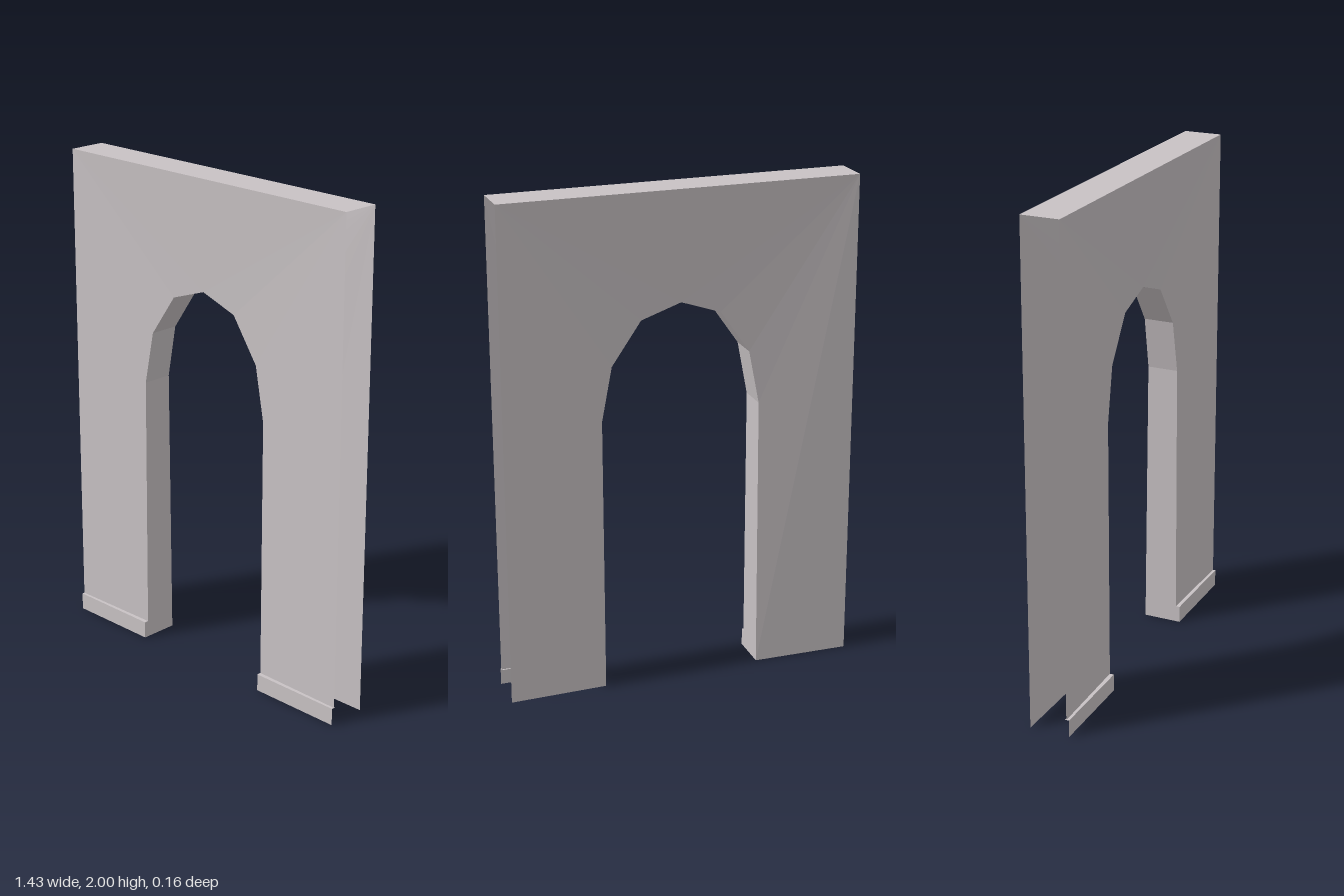
import * as THREE from 'three';

const W = 0.713, H = 2, BASE = 0.07;
const FRONT = 0.07, BACK = -0.083, BOARD = 0.081;

const wallPaint = new THREE.MeshStandardMaterial({ color: 0xc8c2c4, side: THREE.DoubleSide, flatShading: true });

const v = (x, y, z) => new THREE.Vector3(x, y, z);

function mesh(name, triangles) {
  const geometry = new THREE.BufferGeometry().setFromPoints(triangles);
  geometry.computeVertexNormals();
  const m = new THREE.Mesh(geometry, wallPaint);
  m.name = name;
  return m;
}

// Ribbon between two matching rows of points
function strip(a, b) {
  const out = [];
  for (let i = 0; i < a.length - 1; i++) out.push(a[i], b[i], a[i + 1], a[i + 1], b[i], b[i + 1]);
  return out;
}

function fan(apex, row) {
  const out = [];
  for (let i = 0; i < row.length - 1; i++) out.push(apex, row[i], row[i + 1]);
  return out;
}

// Arch outline: x, y, front z, back z; the skins bow inward slightly at the crown
const half = [
  [0.322, 0, 0.064, -0.076],
  [0.32, 1.12, 0.06, -0.066],
  [0.278, 1.335, 0.058, -0.064],
  [0.16, 1.505, 0.056, -0.063],
];
const arch = [
  ...half.map(([x, ...r]) => [-x, ...r]),
  [0, 1.56, 0.056, -0.063],
  ...[...half].reverse(),
];
const archFront = arch.map(([x, y, f]) => v(x, y, f));
const archBack = arch.map(([x, y, , b]) => v(x, y, b));

// Wall face, fanned from its two upper corners around the arch
function skin(name, row, z, footY, flip) {
  const pts = row.map((p) => v(p.x, Math.max(p.y, footY), p.z));
  const topL = v(-W, H, z), topR = v(W, H, z);
  const tris = [
    ...fan(topL, [v(-W, footY, z), ...pts.slice(0, 5)]),
    ...fan(topR, [topL, ...pts.slice(4), v(W, footY, z)]),
  ];
  return mesh(name, flip ? tris.reverse() : tris);
}

export function createModel() {
  const group = new THREE.Group();
  group.name = 'archedWall';

  group.add(skin('frontWall', archFront, FRONT, BASE, false));
  group.add(skin('backWall', archBack, BACK, 0, true));
  group.add(mesh('archReveal', strip(archFront, archBack)));
  group.add(mesh('wallTop', strip([v(-W, H, BACK), v(W, H, BACK)], [v(-W, H, FRONT), v(W, H, FRONT)])));

  // Skirting boards: ledge, face and inner end on each leg
  for (const side of [-1, 1]) {
    const inner = 0.322 * side, outer = W * side;
    const [x0, x1] = [Math.min(inner, outer), Math.max(inner, outer)];
    const row = (y, z) => [v(x0, y, z), v(x1, y, z)];
    const end = [v(inner, 0, BOARD), v(inner, BASE, BOARD)];
    const endBack = [v(inner, 0, 0.064), v(inner, BASE, 0.064)];
    const tris = [
      ...strip(row(BASE, 0.064), row(BASE, BOARD)),
      ...strip(row(BASE, BOARD), row(0, BOARD)),
      ...(side < 0 ? strip(end, endBack) : strip(endBack, end)),
    ];
    group.add(mesh(side < 0 ? 'rightSkirting' : 'leftSkirting', tris));
  }
  return group;
}
